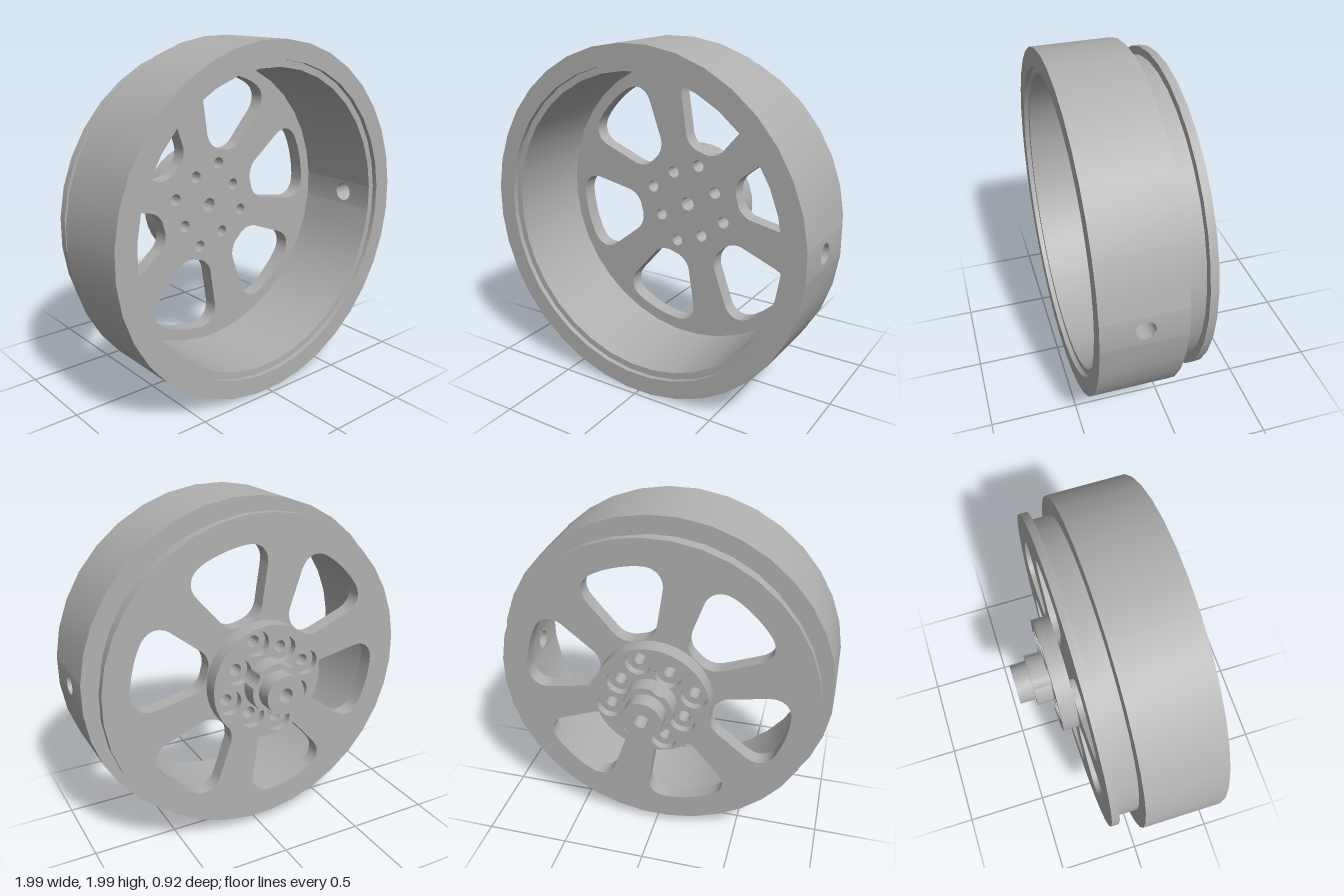
import * as THREE from 'three';
import { mergeGeometries, toCreasedNormals } from 'three/addons/utils/BufferGeometryUtils.js';

const RAD = Math.PI / 180;
const SIDES = 36;
const INNER = 0.855;                 // barrel bore radius
const VALVE = { r: 0.055, z: 0.228 }; // radial hole on the left side
const BORE = 0.042;
const INNER_BOLT = 0.21, OUTER_BOLT = 0.257;

const metal = new THREE.MeshStandardMaterial({ color: 0xb0b0b0 });
metal.name = 'grey metal';

// Revolve [radius, z] pairs around z; counterclockwise profiles face outward
function revolve(profile, start = 95, sweep = 360) {
  const g = new THREE.LatheGeometry(
    profile.map(([r, z]) => new THREE.Vector2(r, z)), SIDES * sweep / 360, start * RAD, sweep * RAD);
  g.rotateX(Math.PI / 2);
  return toCreasedNormals(g, 0.6);
}

function circle(r, x = 0, y = 0, Type = THREE.Path) {
  return new Type().absarc(x, y, r, 0, Math.PI * 2, false);
}

// Flat part with holes between two z levels
function slab(outline, holes, z0, z1, curveSegments = 12) {
  outline.holes.push(...holes);
  const g = new THREE.ExtrudeGeometry(outline, { depth: z1 - z0, bevelEnabled: false, curveSegments });
  g.translate(0, 0, z0);
  return toCreasedNormals(g, 0.6);
}

// Eight bolt holes, alternating between two pitch radii
function boltHoles(r) {
  const holes = [];
  for (let k = 0; k < 4; k++) {
    for (const [d, a] of [[OUTER_BOLT, 73.5], [INNER_BOLT, 28]]) {
      const t = (a + 90 * k) * RAD;
      holes.push(circle(r, d * Math.cos(t), d * Math.sin(t)));
    }
  }
  return holes;
}

// Rounded window between two spokes, centred on the given angle
function spokeWindow(angle) {
  const corners = [ // radial, tangential, fillet length
    [0.342, -0.098, 0.075], [0.738, -0.28, 0.14], [0.802, 0, 0.14],
    [0.738, 0.28, 0.14], [0.342, 0.098, 0.075]
  ];
  const pts = corners.map(([u, v]) =>
    new THREE.Vector2(u, v).rotateAround(new THREE.Vector2(), angle));
  const path = new THREE.Path();
  const n = pts.length;
  pts.forEach((p, i) => {
    const toward = (q, d) => p.clone().add(q.clone().sub(p).setLength(d));
    const f = corners[i][2];
    const prev = pts[(i + n - 1) % n], next = pts[(i + 1) % n];
    const a = toward(prev, f), b = toward(next, f);
    const c1 = toward(prev, f * 0.42), c2 = toward(next, f * 0.42);
    if (i === 0) path.moveTo(a.x, a.y); else path.lineTo(a.x, a.y);
    path.bezierCurveTo(c1.x, c1.y, c2.x, c2.y, b.x, b.y);
  });
  path.closePath();
  return path;
}

// The one barrel facet that carries the radial hole; side = 1 outer, -1 inner
function holedFacet(r, z0, z1, side) {
  const h = r * Math.sin(5 * RAD), x = r * Math.cos(5 * RAD);
  const s = new THREE.Shape([[-h, z0], [h, z0], [h, z1], [-h, z1]].map(p => new THREE.Vector2(...p)));
  s.holes.push(circle(VALVE.r, 0, VALVE.z));
  const g = new THREE.ShapeGeometry(s, 12).toNonIndexed();
  const p = g.attributes.position, nrm = g.attributes.normal;
  for (let i = 0; i < p.count; i++) {
    const y = p.getX(i) * side, z = p.getY(i), len = Math.hypot(x, y);
    p.setXYZ(i, x, y, z);
    nrm.setXYZ(i, side * x / len, side * y / len, 0);
  }
  return g;
}

// Collar outline bitten by the counterbores of the inner bolts
function collarOutline(r, bite) {
  const pts = [];
  for (let i = 0; i < 144; i++) {
    const deg = i * 2.5;
    const a = ((deg - 28 + 45 + 360) % 90 - 45) * RAD;
    const q = bite * bite - (INNER_BOLT * Math.sin(a)) ** 2;
    const cut = q > 0 ? INNER_BOLT * Math.cos(a) - Math.sqrt(q) : r;
    const d = Math.min(r, cut);
    pts.push(new THREE.Vector2(d * Math.cos(deg * RAD), d * Math.sin(deg * RAD)));
  }
  return new THREE.Shape(pts);
}

export function createModel() {
  const model = new THREE.Group();
  model.name = 'wheel';
  const add = (name, ...geometries) => {
    const mesh = new THREE.Mesh(mergeGeometries(geometries), metal);
    mesh.name = name;
    mesh.position.y = 1;
    model.add(mesh);
  };

  // Barrel with a shallow lip inside the front edge
  add('rimOuterWall', revolve([[1, 0], [1, 0.46]], 95, 350), holedFacet(1, 0, 0.46, 1));
  add('rimFrontLip', revolve([[1, 0.46], [0.893, 0.46], [0.893, 0.432], [INNER, 0.432]]));
  add('rimInnerWall', revolve([[INNER, 0.432], [INNER, -0.08]], 95, 350),
    holedFacet(INNER, -0.08, 0.432, -1));

  // Groove and rear flange
  add('rearFlange', revolve([
    [INNER, -0.17], [0.94, -0.17], [0.94, -0.125], [0.893, -0.125], [0.893, 0], [1, 0]
  ]));

  // Lining of the radial hole
  const k = Math.cos(5 * RAD);
  const lining = new THREE.LatheGeometry(
    [new THREE.Vector2(VALVE.r, k), new THREE.Vector2(VALVE.r, INNER * k)], 24);
  lining.rotateZ(-Math.PI / 2).translate(0, 0, VALVE.z);
  add('radialHole', lining);

  // Spoke plate
  const windows = [];
  for (let i = 0; i < 6; i++) windows.push(spokeWindow((13.9 + 60 * i) * RAD));
  add('spokePlate', slab(circle(0.865, 0, 0, THREE.Shape),
    [...windows, ...boltHoles(0.035), circle(BORE)], -0.17, -0.08, 18));

  // Hub flange: drilled layer, then counterbored layer
  add('hubFlange',
    slab(circle(0.34, 0, 0, THREE.Shape), [...boltHoles(0.035), circle(BORE)], -0.22, -0.17, 18),
    slab(circle(0.34, 0, 0, THREE.Shape), [...boltHoles(0.075), circle(BORE)], -0.265, -0.22, 18));

  // Scalloped collar and hollow shaft
  add('hubCollar', slab(collarOutline(0.152, 0.075), [circle(BORE)], -0.365, -0.265));
  add('hubShaft', slab(circle(0.115, 0, 0, THREE.Shape), [circle(BORE)], -0.46, -0.365, 16));

  return model;
}
